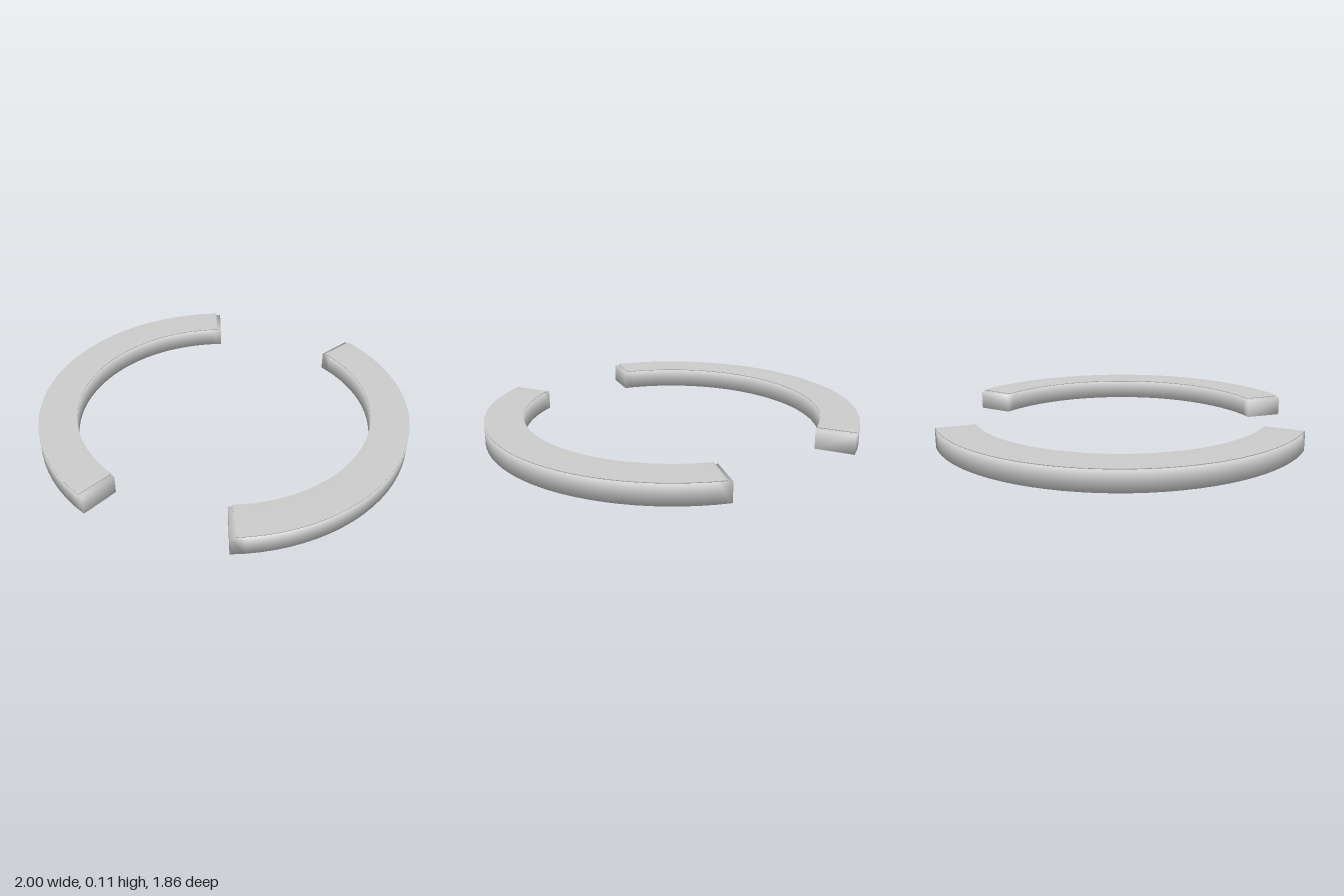
import * as THREE from 'three';

const INNER = 0.797, OUTER = 1.0, CENTRE_Z = -0.0225;
const rad = THREE.MathUtils.degToRad;

// Closed rectangular bar swept along an arc; shared corners give soft shading.
function arcBar(fromDeg, toDeg, bottom, top, segments = 32) {
  const section = [[INNER, bottom], [OUTER, bottom], [OUTER, top], [INNER, top]];
  const positions = [], index = [];
  for (let i = 0; i <= segments; i++) {
    const t = rad(fromDeg + (toDeg - fromDeg) * i / segments);
    for (const [r, y] of section) {
      positions.push(r * Math.cos(t), y, r * Math.sin(t) + CENTRE_Z);
    }
  }
  for (let i = 0; i < segments; i++) {
    for (let k = 0; k < 4; k++) {
      const a = i * 4 + k, b = i * 4 + (k + 1) % 4;
      index.push(a, b, b + 4, a, b + 4, a + 4);
    }
  }
  // End caps
  const e = segments * 4;
  index.push(0, 2, 1, 0, 3, 2, e, e + 1, e + 2, e, e + 2, e + 3);

  const geometry = new THREE.BufferGeometry();
  geometry.setAttribute('position', new THREE.Float32BufferAttribute(positions, 3));
  geometry.setIndex(index);
  geometry.computeVertexNormals();
  return geometry;
}

export function createModel() {
  const model = new THREE.Group();
  model.name = 'splitRing';
  const material = new THREE.MeshStandardMaterial({ color: 0xcccccc });

  // Angles run from +x towards +z; the right half reaches further at the front.
  const halves = [
    { name: 'left', from: -64.8, to: 64.8 },
    { name: 'right', from: 108.1, to: 244.8 },
  ];
  for (const { name, from, to } of halves) {
    const half = new THREE.Group();
    half.name = name + 'Half';

    // Main curved bar
    const bar = new THREE.Mesh(arcBar(from, to, 0, 0.1), material);
    bar.name = name + 'Bar';

    // Thin cover plate floating just over the bar, a little short of its ends
    const cover = new THREE.Mesh(arcBar(from + 1.5, to - 1.5, 0.106, 0.11), material);
    cover.name = name + 'Cover';

    half.add(bar, cover);
    model.add(half);
  }
  return model;
}
